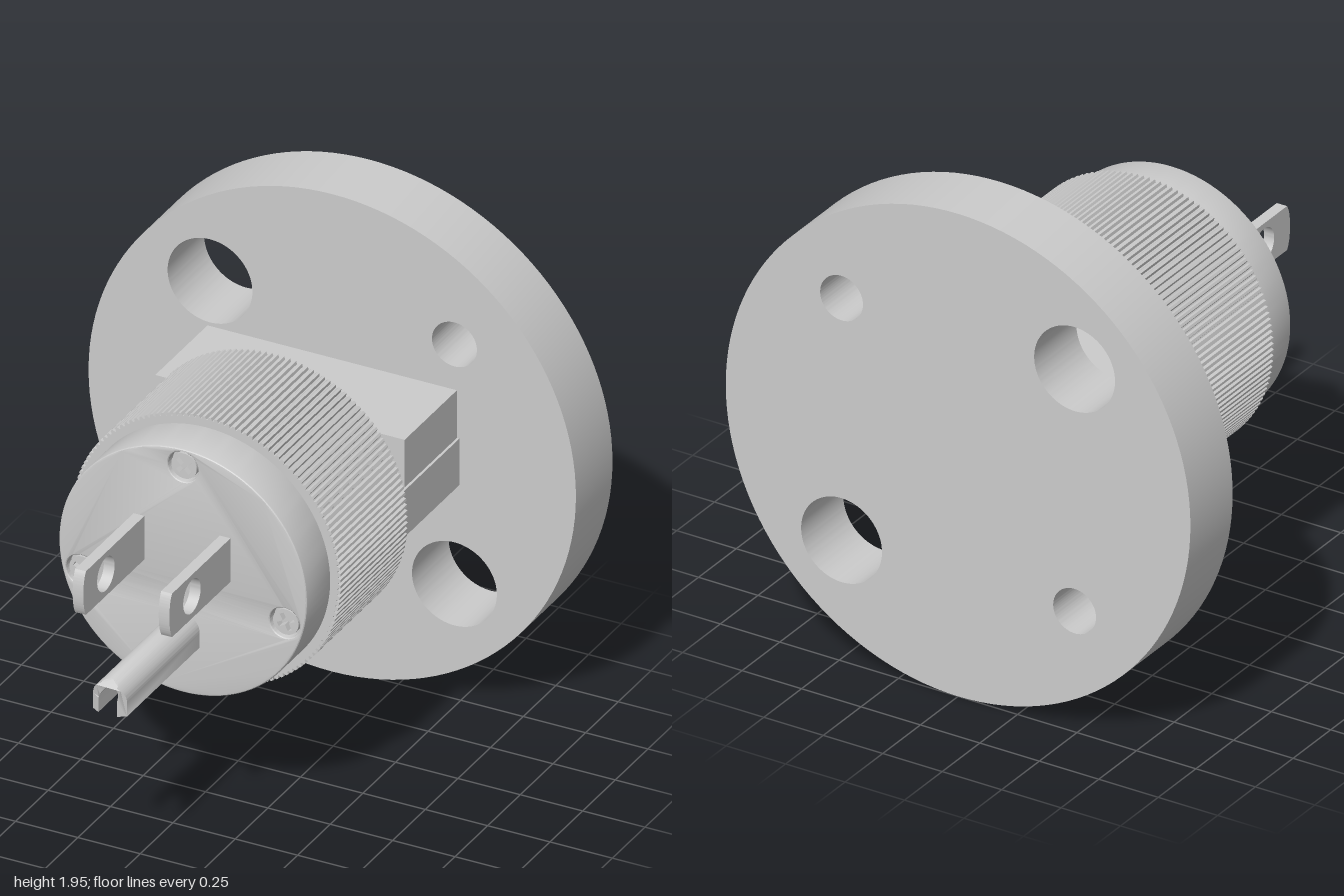
import * as THREE from 'three';
import { toCreasedNormals } from 'three/addons/utils/BufferGeometryUtils.js';

const material = new THREE.MeshStandardMaterial({ color: 0xcccccc });
const AXIS = 0.993; // height of the plug axis

function circle(x, y, r, Kind = THREE.Path) {
  const c = new Kind();
  c.absarc(x, y, r, 0, Math.PI * 2, false);
  return c;
}

// Extrude a shape from z0 to z1, smooth on curves and sharp at edges
function extrude(shape, z0, z1, bevel = 0, curveSegments = 24) {
  const g = new THREE.ExtrudeGeometry(shape, {
    depth: z1 - z0 - 2 * bevel, curveSegments,
    bevelEnabled: bevel > 0, bevelSize: bevel, bevelThickness: bevel, bevelOffset: -bevel, bevelSegments: 3,
  });
  g.translate(0, 0, z0 + bevel);
  return toCreasedNormals(g, 0.5);
}

export function createModel() {
  const model = new THREE.Group();
  const add = (name, geometry, parent = model) => {
    const mesh = new THREE.Mesh(geometry, material);
    mesh.name = name;
    parent.add(mesh);
    return mesh;
  };
  const box = (name, x0, x1, y0, y1, z0, z1) => {
    const g = new THREE.BoxGeometry(x1 - x0, y1 - y0, z1 - z0);
    g.translate((x0 + x1) / 2, (y0 + y1) / 2, (z0 + z1) / 2);
    return add(name, g);
  };

  // Round mounting flange with two large and two small holes
  const flange = circle(0, 0.978, 0.977, THREE.Shape);
  for (const [x, y, r] of [[-0.49, 1.47, 0.17], [0.49, 0.49, 0.17], [0.49, 1.47, 0.09], [-0.49, 0.49, 0.09]]) {
    flange.holes.push(circle(x, y, r));
  }
  add('flange', extrude(flange, -1, -0.72, 0, 64));

  // Bracket: a full-width block above, two arms below reaching the body
  box('bracketBlock', -0.5, 0.5, 1.09, 1.285, -0.72, -0.32);
  for (const s of [-1, 1]) {
    box('bracketArm', s < 0 ? -0.51 : 0.2, s < 0 ? -0.2 : 0.51, 0.9, 1.09, -0.72, -0.27);
  }

  // Knurled grip ring
  const teeth = 140;
  const outline = [];
  for (let i = 0; i < teeth; i++) {
    for (const [offset, r] of [[0, 0.528], [0.2, 0.539], [0.6, 0.539], [0.8, 0.528]]) {
      const a = ((i + offset) / teeth) * Math.PI * 2;
      outline.push(new THREE.Vector2(r * Math.cos(a), AXIS + r * Math.sin(a)));
    }
  }
  add('gripRing', extrude(new THREE.Shape(outline), -0.27, 0.245));
  box('key', -0.045, 0.045, 0.46, 0.51, 0.24, 0.295);

  // Face with three screw recesses
  const screws = [[0, 1.418, 0], [-0.408, 0.888, 0.35], [0.408, 0.888, -0.3]];
  const face = circle(0, AXIS, 0.497, THREE.Shape);
  for (const [x, y] of screws) face.holes.push(circle(x, y, 0.06));
  add('face', extrude(face, 0.21, 0.425, 0.008, 48));

  // Cross-slotted screws
  const w = 0.009, l = 0.036;
  for (const [x, y, turn] of screws) {
    const screw = new THREE.Group();
    screw.name = 'screw';
    screw.position.set(x, y, 0);
    screw.rotation.z = turn + Math.PI / 4;
    model.add(screw);
    add('screwSeat', extrude(circle(0, 0, 0.06, THREE.Shape), 0.3, 0.385), screw);
    const head = circle(0, 0, 0.051, THREE.Shape);
    head.holes.push(new THREE.Path([
      [w, w], [l, w], [l, -w], [w, -w], [w, -l], [-w, -l],
      [-w, -w], [-l, -w], [-l, w], [-w, w], [-w, l], [w, l],
    ].map(([a, b]) => new THREE.Vector2(a, b))));
    add('screwHead', extrude(head, 0.38, 0.415), screw);
  }

  // Flat blades, drawn in the side plane and turned to face forward
  const blade = new THREE.Shape();
  blade.moveTo(0.4, 1.0);
  blade.lineTo(0.872, 1.0);
  blade.quadraticCurveTo(0.892, 1.03, 0.892, 1.09);
  blade.quadraticCurveTo(0.892, 1.15, 0.872, 1.178);
  blade.lineTo(0.4, 1.178);
  blade.holes.push(circle(0.72, 1.09, 0.067));
  for (const x of [-0.175, 0.17]) {
    const mesh = add('blade', extrude(blade, -0.0215, 0.0215));
    mesh.rotation.y = -Math.PI / 2;
    mesh.position.x = x;
  }

  // Ground pin: an arched channel, open below
  const channel = new THREE.Shape();
  channel.moveTo(0.068, 0.698);
  channel.lineTo(0.068, 0.757);
  channel.absarc(0, 0.757, 0.068, 0, Math.PI, false);
  channel.lineTo(-0.068, 0.698);
  channel.lineTo(-0.037, 0.698);
  channel.lineTo(-0.037, 0.757);
  channel.absarc(0, 0.757, 0.037, Math.PI, 0, true);
  channel.lineTo(0.037, 0.698);
  const pin = new THREE.ExtrudeGeometry(channel, { depth: 0.6, steps: 1, bevelEnabled: false, curveSegments: 32 });
  pin.translate(0, 0, 0.4);
  // Scoop the crown back at the tip and round off the outer edges
  const p = pin.attributes.position;
  for (let i = 0; i < p.count; i++) {
    if (p.getZ(i) < 0.9) continue;
    const x = Math.abs(p.getX(i));
    const scoop = Math.sqrt(Math.max(0, 0.037 ** 2 - x * x));
    p.setZ(i, 1 - scoop - Math.max(0, x - 0.045) * 0.8);
  }
  add('groundPin', toCreasedNormals(pin, 0.5));

  return model;
}
